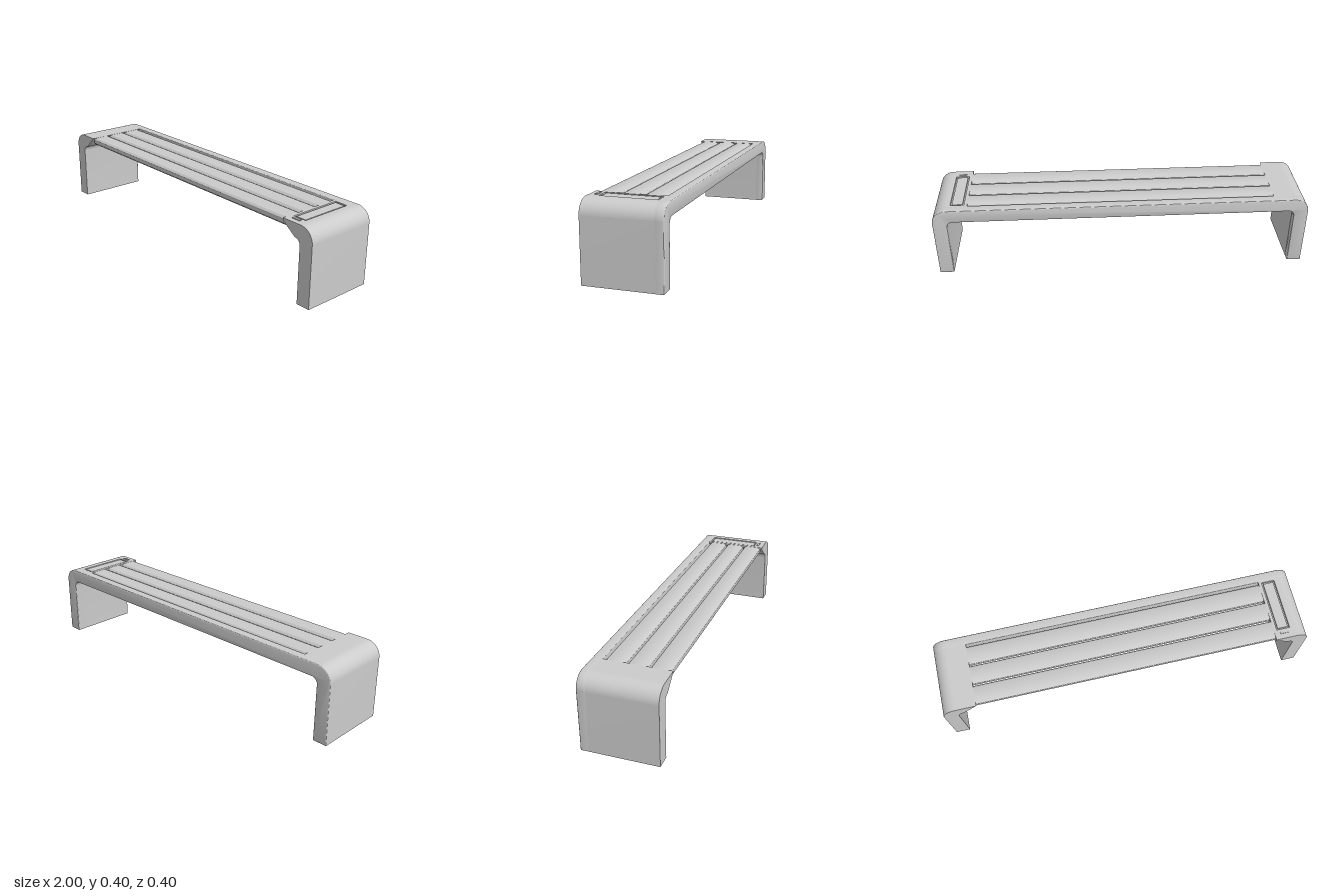
import * as THREE from 'three';
import { toCreasedNormals } from 'three/addons/utils/BufferGeometryUtils.js';

const TOP = 0.4, UNDER = 0.33, LEG_IN = 0.925, R_OUT = 0.075, R_IN = 0.033;
const NOTCH = 0.815;                       // inner end of the solid seat plates
const material = new THREE.MeshStandardMaterial({ color: 0xcccccc });

function addMesh(parent, name, geometry) {
  const mesh = new THREE.Mesh(geometry, material);
  mesh.name = name;
  parent.add(mesh);
  return mesh;
}

function extrude(shape, depth, bevel = 0) {
  const geometry = new THREE.ExtrudeGeometry(shape, {
    depth: depth - 2 * bevel, bevelEnabled: bevel > 0, bevelSize: bevel,
    bevelThickness: bevel, bevelOffset: -bevel, bevelSegments: 3, curveSegments: 12,
  });
  geometry.translate(0, 0, bevel);
  return toCreasedNormals(geometry, 0.6);
}

function rectangle(Type, x0, x1, y0, y1) {
  const s = new Type();
  s.moveTo(x0, y0);
  s.lineTo(x1, y0);
  s.lineTo(x1, y1);
  s.lineTo(x0, y1);
  s.closePath();
  return s;
}

function roundedRectangle(w, h, r) {
  const s = new THREE.Shape();
  const x = w / 2 - r, y = h / 2 - r;
  s.absarc(x, -y, r, -Math.PI / 2, 0);
  s.absarc(x, y, r, 0, Math.PI / 2);
  s.absarc(-x, y, r, Math.PI / 2, Math.PI);
  s.absarc(-x, -y, r, Math.PI, Math.PI * 1.5);
  s.closePath();
  return s;
}

// Bent leg outline, optionally with a shallow step for the cover plate
function legShape(step) {
  const s = new THREE.Shape();
  s.moveTo(NOTCH, UNDER);
  s.absarc(LEG_IN - R_IN, UNDER - R_IN, R_IN, Math.PI / 2, 0, true);
  s.lineTo(LEG_IN, 0);
  s.lineTo(1, 0);
  s.absarc(1 - R_OUT, TOP - R_OUT, R_OUT, 0, Math.PI / 2);
  if (step) {
    s.lineTo(0.915, TOP);
    s.lineTo(0.915, TOP - step);
  }
  s.lineTo(NOTCH, TOP - step);
  s.closePath();
  return s;
}

// Whole arch outline used for the back rail
function archShape() {
  const s = new THREE.Shape();
  s.moveTo(LEG_IN, 0);
  s.lineTo(1, 0);
  s.absarc(1 - R_OUT, TOP - R_OUT, R_OUT, 0, Math.PI / 2);
  s.absarc(R_OUT - 1, TOP - R_OUT, R_OUT, Math.PI / 2, Math.PI);
  s.lineTo(-1, 0);
  s.lineTo(-LEG_IN, 0);
  s.absarc(R_IN - LEG_IN, UNDER - R_IN, R_IN, Math.PI, Math.PI / 2, true);
  s.absarc(LEG_IN - R_IN, UNDER - R_IN, R_IN, Math.PI / 2, 0, true);
  s.closePath();
  return s;
}

export function createModel() {
  const bench = new THREE.Group();
  bench.name = 'bench';

  // Frame: back rail arch and the two bent legs
  addMesh(bench, 'backRail', extrude(archShape(), 0.05, 0.004)).position.z = -0.2;
  addMesh(bench, 'leftLeg', extrude(legShape(0.012), 0.36)).position.z = -0.16;
  const rightLeg = addMesh(bench, 'rightLeg', extrude(legShape(0), 0.36));
  rightLeg.rotation.y = Math.PI;
  rightLeg.position.z = 0.2;

  // Rounded seat slats, slightly thinner than the frame
  const slatGeometry = extrude(roundedRectangle(0.104, 0.044, 0.02), 2 * NOTCH + 0.02);
  slatGeometry.rotateY(Math.PI / 2);
  slatGeometry.translate(-NOTCH - 0.01, 0, 0);
  for (let i = 0; i < 3; i++) {
    addMesh(bench, 'seatSlat', slatGeometry).position.set(0, 0.377, -0.088 + i * 0.112);
  }

  // Cover plate with an inset panel and a small raised button
  const cover = rectangle(THREE.Shape, NOTCH, 0.915, -0.2, 0.16);
  cover.holes.push(rectangle(THREE.Path, 0.832, 0.904, -0.145, 0.142));
  const coverGeometry = extrude(cover, 0.012);
  coverGeometry.rotateX(-Math.PI / 2);
  addMesh(bench, 'coverPlate', coverGeometry).position.y = TOP - 0.012;

  addMesh(bench, 'insetPanel', new THREE.BoxGeometry(0.056, 0.012, 0.27))
    .position.set(0.868, TOP - 0.008, 0.002);
  addMesh(bench, 'button', new THREE.BoxGeometry(0.045, 0.014, 0.013))
    .position.set(0.868, TOP - 0.003, 0.165);

  return bench;
}
